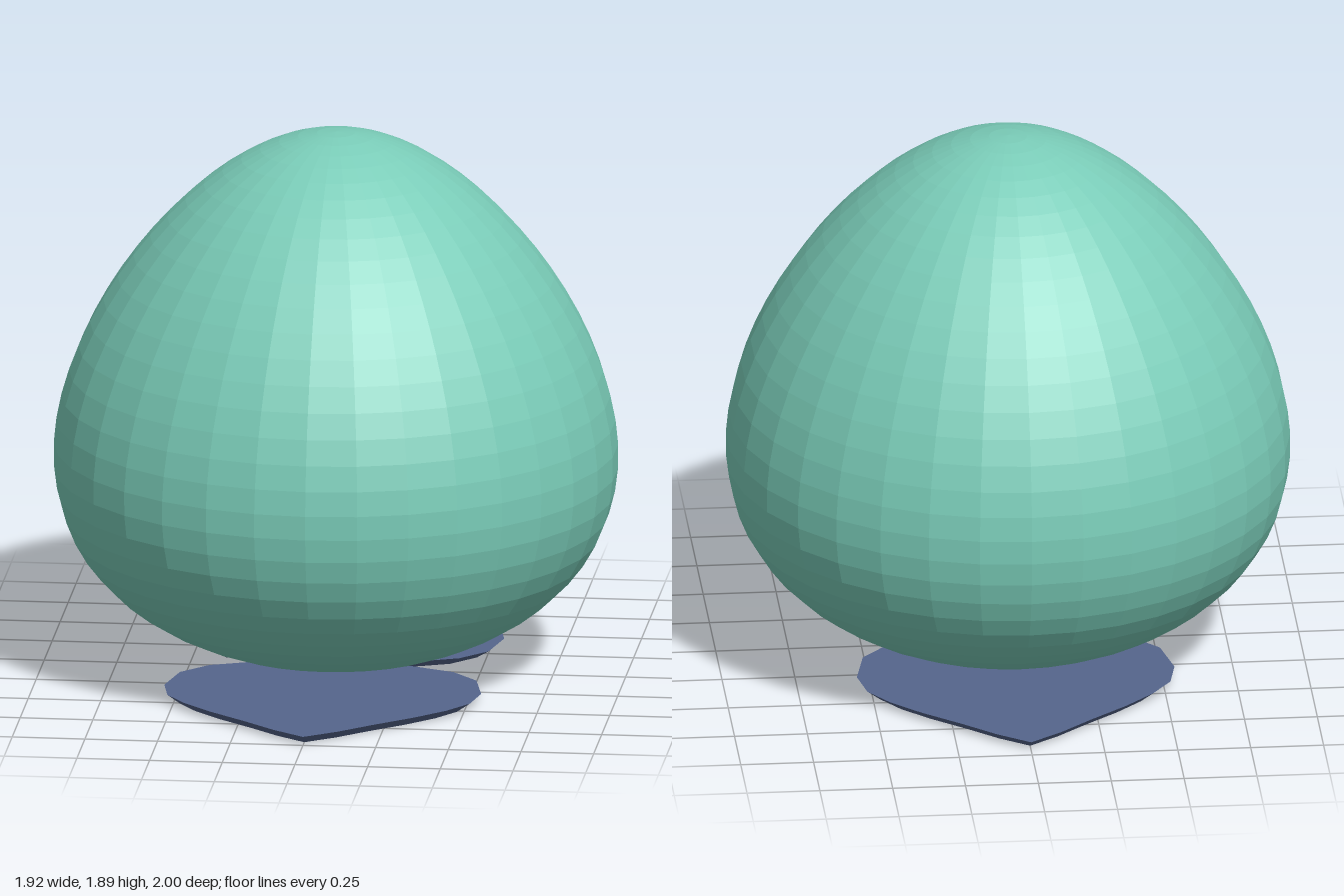
import * as THREE from 'three';

const BODY_CENTRE_Y = 0.962, BODY_RADIUS = 0.933, SEGMENTS = 34;
const FOOT_HEIGHT = 0.03, FOOT_LENGTH = 0.98, FOOT_CENTRE_Z = 0.02;

// Egg: a faceted sphere, drawn in towards the top and swollen at the bottom
function bodyGeometry() {
  const geometry = new THREE.SphereGeometry(1, SEGMENTS, SEGMENTS).rotateY(Math.PI / 2);
  const p = geometry.attributes.position;
  for (let i = 0; i < p.count; i++) {
    const swell = 1.006 * (1 - 0.25 * p.getY(i));
    p.setX(i, p.getX(i) * swell);
    p.setZ(i, p.getZ(i) * swell);
  }
  geometry.scale(BODY_RADIUS, BODY_RADIUS, BODY_RADIUS);
  geometry.computeVertexNormals();
  return geometry;
}

// Foot: a rounded plate with a pointed toe, narrower underneath
function footGeometry() {
  const half = [[0, 0], [0.25, 0.02], [0.42, 0.09], [0.51, 0.19], [0.545, 0.36],
    [0.52, 0.49], [0.45, 0.59], [0.35, 0.69], [0.22, 0.8], [0.11, 0.9], [0, FOOT_LENGTH]];
  const right = half.map(([x, z]) => new THREE.Vector2(x, z));
  const left = half.slice(0, -1).reverse().map(([x, z]) => new THREE.Vector2(-x, z));
  const shape = new THREE.Shape([...right, ...left.slice(0, -1)]);
  const geometry = new THREE.ExtrudeGeometry(shape, { depth: FOOT_HEIGHT, bevelEnabled: false });
  geometry.rotateX(Math.PI / 2).translate(0, FOOT_HEIGHT, 0);
  const p = geometry.attributes.position, taper = 0.915, middle = FOOT_LENGTH / 2;
  for (let i = 0; i < p.count; i++) {
    if (p.getY(i) > FOOT_HEIGHT / 2) continue;
    p.setX(i, p.getX(i) * taper);
    p.setZ(i, middle + (p.getZ(i) - middle) * taper);
  }
  geometry.computeVertexNormals();
  return geometry;
}

export function createModel() {
  const group = new THREE.Group();
  const green = new THREE.MeshStandardMaterial({ color: 0x7accb8, flatShading: true });
  const blue = new THREE.MeshStandardMaterial({ color: 0x55658c, flatShading: true });

  const body = new THREE.Mesh(bodyGeometry(), green);
  body.name = 'eggBody';
  body.position.set(0, BODY_CENTRE_Y, -0.035);
  group.add(body);

  // Two feet, heel to heel, one pointing forward and one back
  const geometry = footGeometry();
  ['frontFoot', 'backFoot'].forEach((name, i) => {
    const foot = new THREE.Mesh(geometry, blue);
    foot.name = name;
    foot.position.z = FOOT_CENTRE_Z;
    foot.rotation.y = i * Math.PI;
    group.add(foot);
  });
  return group;
}
